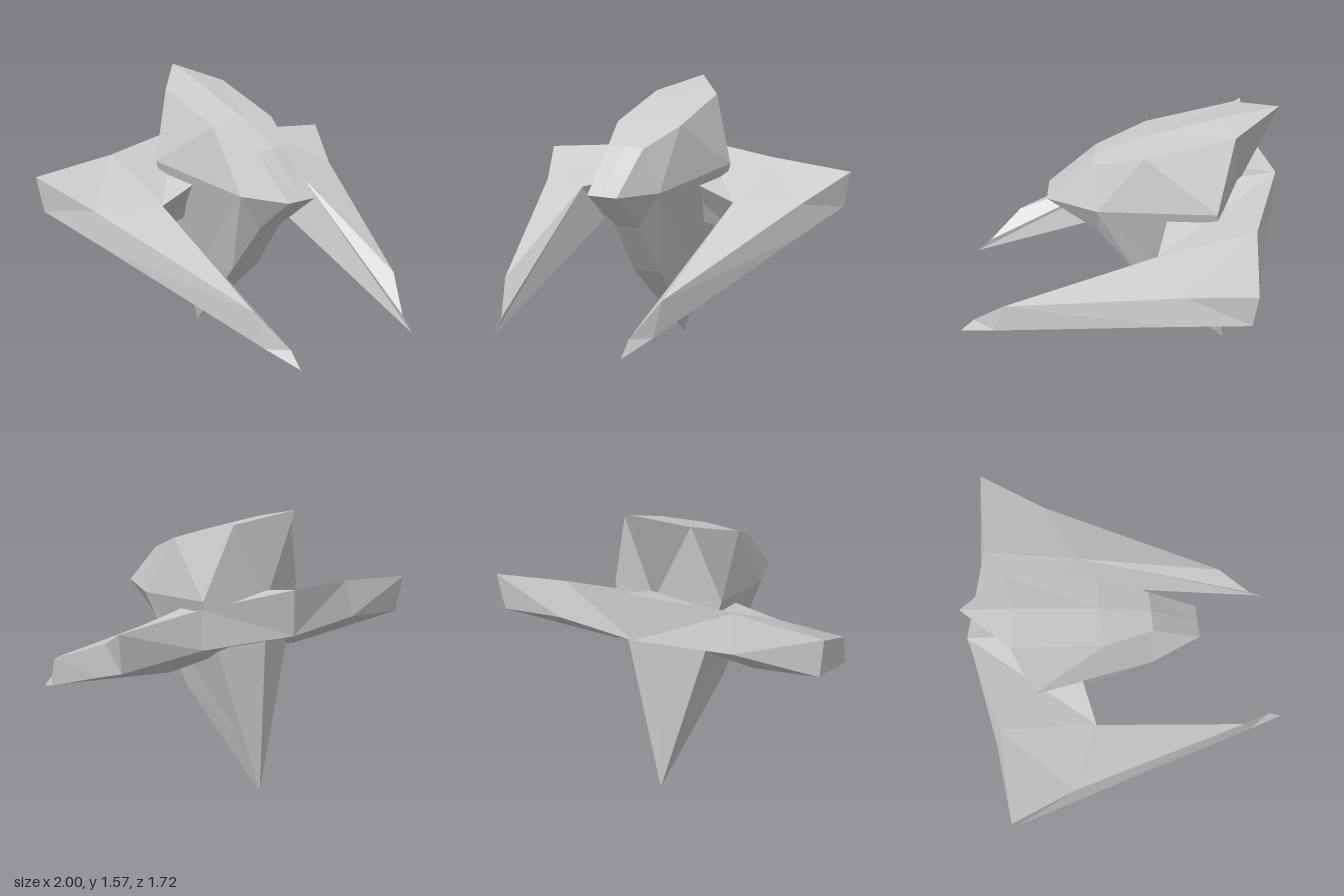
import * as THREE from 'three';

const material = new THREE.MeshStandardMaterial({ color: 0xcccccc, flatShading: true });

// Builds a mirrored, faceted shell from polygons given for the +x half.
function mirroredShell(name, faces) {
  const pos = [];
  const add = (poly) => {
    for (let i = 1; i < poly.length - 1; i++) pos.push(...poly[0], ...poly[i], ...poly[i + 1]);
  };
  for (const face of faces) {
    add(face);
    // rotate the start so mirrored quads split along the same diagonal
    const m = face.map(([x, y, z]) => [-x, y, z]);
    add([m[0], ...m.slice(1).reverse()]);
  }
  const geo = new THREE.BufferGeometry();
  geo.setAttribute('position', new THREE.Float32BufferAttribute(pos, 3));
  geo.computeVertexNormals();
  const mesh = new THREE.Mesh(geo, material);
  mesh.name = name;
  return mesh;
}

// Central body: raised hood above, pointed keel below
function createFuselage() {
  const onCentre = ([, y, z]) => [0, y, z];
  const nose = [0.09, 1.02, 0.38], cheek = [0.2, 1.01, 0.1], shoulder = [0.33, 1.09, -0.54];
  const brow = [0.11, 1.25, 0.12], crown = [0.2, 1.35, -0.15], crest = [0.2, 1.48, -0.62];
  const chin = [0.07, 0.8, 0.1], throat = [0.09, 0.5, -0.13], keelSide = [0.09, 0.33, -0.55];
  const peak = [0, 1.565, -0.85], back = [0, 1.08, -0.66], keelTip = [0, 0, -0.63];
  const noseMid = onCentre(nose), browMid = [0, 1.26, 0.12], crownMid = [0, 1.37, -0.15];
  const crestMid = [0, 1.5, -0.58], chinMid = onCentre(chin), throatMid = onCentre(throat);

  return mirroredShell('fuselage', [
    // hood top
    [noseMid, nose, brow, browMid],
    [browMid, brow, crown, crownMid],
    [crownMid, crown, crest, crestMid],
    [crestMid, crest, peak],
    // hood sides
    [nose, cheek, brow],
    [cheek, crown, brow],
    [cheek, shoulder, crown],
    [shoulder, crest, crown],
    // rear
    [crest, shoulder, back, peak],
    [shoulder, keelSide, keelTip, back],
    // keel sides
    [nose, chin, cheek],
    [chin, throat, cheek],
    [cheek, throat, keelSide, shoulder],
    [throat, keelTip, keelSide],
    // keel front
    [noseMid, chinMid, chin, nose],
    [chinMid, throatMid, throat, chin],
    [throatMid, keelTip, throat],
  ]);
}

// Swept wing slab with two forward prongs
function createWing() {
  // half outline: rear centre, front centre, notch, prong tip, prong shoulder, outer edge, wing tip, rear edge
  const top = [
    [0, 1.16, -0.86], [0, 1.07, -0.33], [0.49, 0.93, -0.23], [0.385, 0.4, 0.78],
    [0.48, 0.57, 0.6], [0.83, 0.925, -0.38], [1, 1.07, -0.72], [0.51, 1.115, -0.735],
  ];
  const bottom = [
    [0, 0.92, -0.86], [0, 0.79, -0.48], [0.44, 0.71, -0.41], [0.385, 0.32, 0.86],
    [0.46, 0.385, 0.66], [0.83, 0.74, -0.33], [0.97, 0.87, -0.7], [0.53, 0.92, -0.77],
  ];
  const panels = [[0, 1, 2, 7], [7, 2, 5, 6], [2, 3, 4, 5]];
  const faces = [];
  for (const p of panels) {
    faces.push(p.map((i) => top[i]));
    faces.push([...p].reverse().map((i) => bottom[i]));
  }
  // edge walls
  for (let i = 1; i < top.length; i++) {
    const j = (i + 1) % top.length;
    faces.push([top[i], bottom[i], bottom[j], top[j]]);
  }
  return mirroredShell('wing', faces);
}

export function createModel() {
  const group = new THREE.Group();
  group.name = 'spacecraft';
  group.add(createFuselage(), createWing());
  return group;
}
